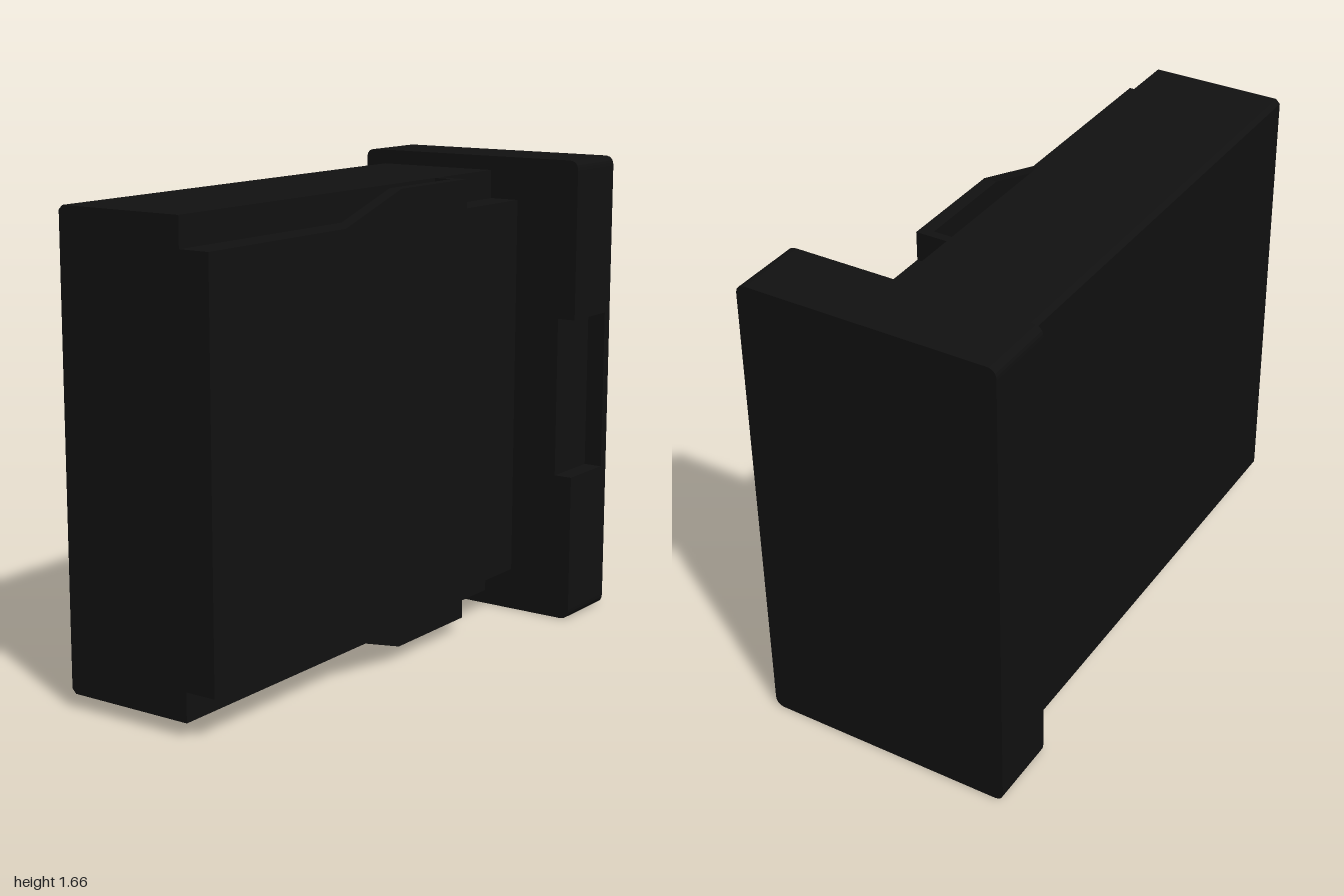
import * as THREE from 'three';

const material = new THREE.MeshStandardMaterial({ color: 0x111111 });

const polygon = (points) => new THREE.Shape(points.map(([a, b]) => new THREE.Vector2(a, b)));

// Extrude an x-y outline from z0 to z1
function extrudeZ(name, shape, z0, z1) {
  const geometry = new THREE.ExtrudeGeometry(shape, { depth: z1 - z0, bevelEnabled: false, curveSegments: 6 });
  geometry.translate(0, 0, z0);
  const mesh = new THREE.Mesh(geometry, material);
  mesh.name = name;
  return mesh;
}

// Extrude a z-y outline from x0 to x1
function extrudeX(name, points, x0, x1) {
  const shape = polygon(points.map(([z, y]) => [-z, y]));
  const geometry = new THREE.ExtrudeGeometry(shape, { depth: x1 - x0, bevelEnabled: false });
  geometry.rotateY(Math.PI / 2).translate(x0, 0, 0);
  const mesh = new THREE.Mesh(geometry, material);
  mesh.name = name;
  return mesh;
}

// Rounded end-cap outline, optionally with the grip notch on its +x edge
function capOutline(notched) {
  const l = -0.433, r = 0.46, t = 1.66, c = 0.035;
  const s = new THREE.Shape();
  s.moveTo(l + c, 0);
  s.lineTo(r - c, 0);
  s.quadraticCurveTo(r, 0, r, c);
  if (notched) {
    s.lineTo(r, 0.53);
    s.lineTo(0.393, 0.53);
    s.lineTo(0.393, 1.1);
    s.lineTo(r, 1.1);
  }
  s.lineTo(r, t - c);
  s.quadraticCurveTo(r, t, r - c, t);
  s.lineTo(l + c, t);
  s.quadraticCurveTo(l, t, l, t - c);
  s.lineTo(l, c);
  s.quadraticCurveTo(l, 0, l + c, 0);
  return s;
}

export function createModel() {
  const model = new THREE.Group();
  model.name = 'batteryPack';

  const back = -0.735, front = 0.991;
  const bottom = 0.05, top = 1.61, mid = (bottom + top) / 2;
  const left = -0.367, step = 0.107, right = 0.218;

  // Main body with narrow chamfers along its outer long edges
  const c = 0.015;
  model.add(extrudeZ('body', polygon([
    [left + c, bottom], [step, bottom], [step, top],
    [left + c, top], [left, top - c], [left, bottom + c],
  ]), back, front));

  // Narrower raised side
  model.add(extrudeX('sidePanel', [
    [front, 0.15], [back, 0.15], [back, 1.51], [front, 1.51],
  ], step, right));

  // Guide rails with a sloped lead-in, and the stop closing each groove
  for (const sign of [1, -1]) {
    const inner = mid + sign * 0.68, outer = mid + sign * 0.78;
    const end = sign > 0 ? 'upper' : 'lower';
    model.add(extrudeX(end + 'Rail', [
      [0.31, inner], [0, outer], [-0.4, outer], [-0.4, inner],
    ], 0.172, right));
    model.add(extrudeX(end + 'RailStop', [
      [-0.37, inner], [-0.37, outer], [-0.4, outer], [-0.4, inner],
    ], step, 0.172));
  }

  // End cap: notched front layer and full back plate
  model.add(extrudeZ('endCap', capOutline(true), -0.955, back));
  model.add(extrudeZ('endCapBackPlate', capOutline(false), -0.99, -0.955));

  // The whole pack stands turned by one degree
  model.rotation.y = Math.PI / 180;
  return model;
}
